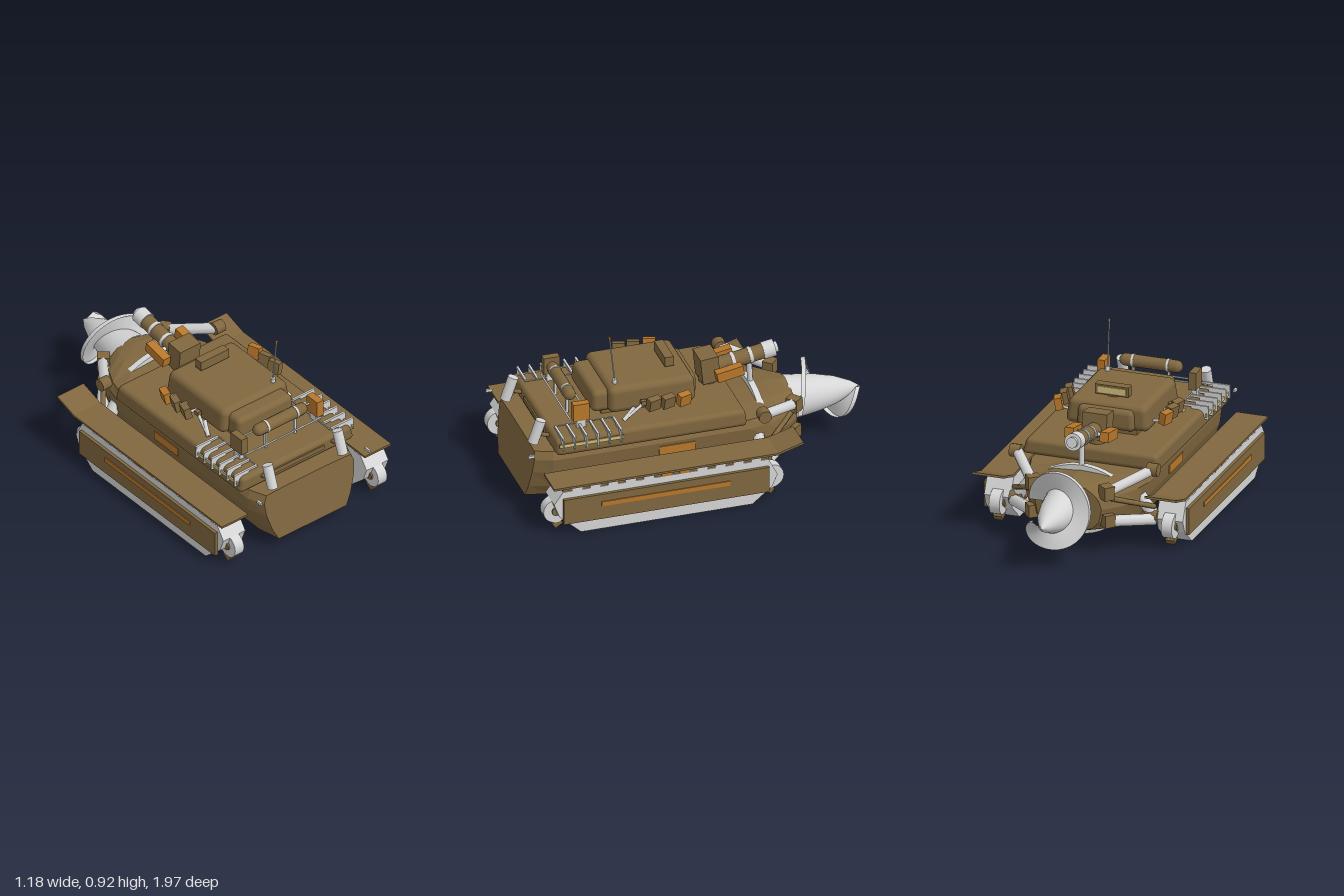
import * as THREE from 'three';
import { RoundedBoxGeometry } from 'three/addons/geometries/RoundedBoxGeometry.js';

const mat = (name, color, side = THREE.FrontSide) => {
  const m = new THREE.MeshStandardMaterial({ color, side });
  m.name = name;
  return m;
};

export function createModel() {
  const root = new THREE.Group();
  root.name = 'drillingVehicle';
  const brown = mat('brown armour', 0x80673f);
  const grey = mat('light metal', 0xd6d6d6, THREE.DoubleSide);
  const orange = mat('orange', 0xb8772c);
  const glass = mat('pale window', 0xd2bf7c);
  const V = (x, y, z) => new THREE.Vector3(x, y, z);

  const add = (name, geo, m, x = 0, y = 0, z = 0, rx = 0, ry = 0, rz = 0) => {
    const mesh = new THREE.Mesh(geo, m);
    mesh.name = name;
    mesh.position.set(x, y, z);
    mesh.rotation.set(rx, ry, rz);
    root.add(mesh);
    return mesh;
  };
  const box = (name, m, w, h, d, ...p) => add(name, new THREE.BoxGeometry(w, h, d), m, ...p);
  const rod = (name, m, a, b, r, sides = 12, r2 = r) => {
    const dir = b.clone().sub(a);
    const mesh = add(name, new THREE.CylinderGeometry(r2, r, dir.length(), sides), m);
    mesh.position.copy(a).add(b).multiplyScalar(0.5);
    mesh.quaternion.setFromUnitVectors(V(0, 1, 0), dir.normalize());
    return mesh;
  };
  // rounded block whose top is narrowed by kx and kz
  const block = (name, w, h, d, r, kx, kz, x, y, z) => {
    const g = new RoundedBoxGeometry(w, h, d, 3, r), p = g.attributes.position;
    for (let i = 0; i < p.count; i++) {
      const t = p.getY(i) / h + 0.5;
      p.setX(i, p.getX(i) * (1 - kx * t));
      p.setZ(i, p.getZ(i) * (1 - kz * t));
    }
    return add(name, g, brown, x, y, z);
  };

  // Hull: one section lofted along z, turning round towards the drill
  const half = [[0, 0.08], [0.26, 0.08], [0.3, 0.15], [0.335, 0.25], [0.345, 0.33], [0.325, 0.375], [0.15, 0.38], [0, 0.38]];
  const section = half.concat(half.slice(1, -1).reverse().map(([x, y]) => [-x, y]));
  // z, width factor, blend to round, round radius x, round radius y
  const rings = [[0.95, 0.89, 0, 0, 0], [0.84, 1, 0, 0, 0], [-0.26, 1, 0, 0, 0], [-0.36, 1, 0.35, 0.3, 0.17],
    [-0.45, 1, 0.7, 0.265, 0.165], [-0.52, 1, 0.9, 0.23, 0.155], [-0.57, 1, 1, 0.19, 0.145]];
  const pos = [], idx = [], n = section.length;
  const ringPoints = rings.map(([z, k, t, rx, ry]) => section.map(([x, y]) => {
    const a = Math.atan2(y - 0.23, x * 0.6);
    const slant = z > 0.9 ? (0.23 - y) * 0.12 : 0;
    return [x * k * (1 - t) + Math.cos(a) * rx * t, y * (1 - t) + (0.25 + Math.sin(a) * ry) * t, z + slant];
  }));
  ringPoints.forEach(r => r.forEach(p => pos.push(...p)));
  for (let j = 0; j < rings.length - 1; j++) for (let i = 0; i < n; i++) {
    const a = j * n + i, b = j * n + (i + 1) % n;
    idx.push(a, a + n, b, b, a + n, b + n);
  }
  for (let i = 1; i < n - 1; i++) {
    const e = (rings.length - 1) * n;
    idx.push(0, i, i + 1, e, e + i + 1, e + i);
  }
  let hull = new THREE.BufferGeometry();
  hull.setAttribute('position', new THREE.Float32BufferAttribute(pos, 3));
  hull.setIndex(idx);
  hull = hull.toNonIndexed();
  hull.computeVertexNormals();
  add('hull', hull, brown);

  // Deck and cabin
  block('deck', 0.79, 0.09, 1.07, 0.025, 0.06, 0.01, 0, 0.422, 0.305);
  box('deckFrontSlot', brown, 0.36, 0.025, 0.02, 0, 0.423, 0.835);
  box('cabinBase', brown, 0.34, 0.05, 0.5, 0, 0.48, 0.27);
  block('cabin', 0.48, 0.145, 0.49, 0.035, 0.09, 0.03, 0, 0.562, 0.25);
  block('cabinFront', 0.39, 0.12, 0.18, 0.03, 0.05, 0.1, 0, 0.55, 0.49);
  block('cabinBack', 0.33, 0.12, 0.14, 0.03, 0.05, 0.05, 0, 0.55, 0.05);
  box('roofLampHousing', brown, 0.19, 0.055, 0.05, 0, 0.673, 0.115);
  box('roofLampFoot', brown, 0.05, 0.02, 0.03, 0, 0.638, 0.115);
  box('roofLampWindow', glass, 0.16, 0.035, 0.006, 0, 0.673, 0.088);

  // Antenna
  rod('antennaBase', grey, V(0.155, 0.63, 0.44), V(0.155, 0.66, 0.442), 0.013);
  rod('antennaMast', grey, V(0.155, 0.65, 0.44), V(0.155, 0.91, 0.468), 0.004, 8);
  rod('antennaTip', orange, V(0.155, 0.908, 0.468), V(0.155, 0.922, 0.47), 0.007, 8);

  // Tank with straps and rails on the front deck
  const tank = add('tank', new THREE.CapsuleGeometry(0.034, 0.29, 4, 16), brown, 0, 0.605, 0.69);
  tank.rotation.z = Math.PI / 2;
  for (const x of [-0.1, 0.1]) {
    rod('tankStrap', grey, V(x - 0.006, 0.605, 0.69), V(x + 0.006, 0.605, 0.69), 0.037, 16);
    box('tankFoot', grey, 0.012, 0.13, 0.015, x, 0.525, 0.69);
  }
  for (const [y, z] of [[0.565, 0.64], [0.51, 0.72]]) rod('crossRail', grey, V(-0.26, y, z), V(0.26, y, z), 0.005, 6);
  box('orangeBox', orange, 0.042, 0.1, 0.09, 0.26, 0.56, 0.665);
  box('brownBox', brown, 0.042, 0.1, 0.09, -0.26, 0.56, 0.665);

  for (const s of [1, -1]) {
    const P = (x, y, z) => V(s * x, y, z);

    // Deck fittings
    box('boxFoot', grey, 0.03, 0.06, 0.05, s * 0.26, 0.485, 0.665);
    rod('exhaust', grey, P(0.24, 0.4, 0.925), P(0.24, 0.53, 0.88), 0.029, 16);
    rod('exhaustBracket', brown, P(0.24, 0.43, 0.83), P(0.24, 0.45, 0.9), 0.012, 8);
    box('frontMarker', grey, 0.012, 0.015, 0.035, s * 0.37, 0.392, 0.975);
    for (let i = 0; i < 6; i++) {
      const z = 0.48 + i * 0.065;
      box('rackSlat', grey, 0.15, 0.012, 0.012, s * 0.33, 0.485, z);
      box('rackPlate', grey, 0.1, 0.07, 0.007, s * 0.357, 0.45, z);
    }
    box('rackStrip', glass, 0.008, 0.02, 0.36, s * 0.394, 0.44, 0.645);
    rod('rackRail', grey, P(0.25, 0.485, 0.48), P(0.25, 0.485, 0.81), 0.004, 6);
    box('hullSideVent', orange, 0.008, 0.05, 0.2, s * 0.343, 0.285, 0.15);

    // Side lamps and the small folded arm beside the cabin
    [[0.1, orange], [0.19, brown], [0.27, brown]].forEach(([z, m]) => {
      box('sideLamp', m, 0.04, 0.068, 0.07, s * 0.305, 0.56, z, 0, s * 0.3, -s * 0.2);
      rod('sideLampFoot', grey, P(0.22, 0.53, z), P(0.3, 0.54, z), 0.008, 6);
    });
    rod('foldedArm', grey, P(0.28, 0.47, 0.43), P(0.255, 0.54, 0.31), 0.009, 8);
    rod('foldedArmLink', grey, P(0.28, 0.47, 0.43), P(0.25, 0.52, 0.36), 0.012, 8);
    box('foldedArmJoint', brown, 0.025, 0.025, 0.03, s * 0.255, 0.545, 0.31);

    // Track pod: sloped outline extruded across x
    const outline = [[0.86, 0.26], [0.91, 0.19], [0.88, 0.11], [0.76, 0], [-0.2, 0], [-0.31, 0.09], [-0.34, 0.16], [-0.29, 0.26]];
    const shape = new THREE.Shape(outline.map(([z, y]) => new THREE.Vector2(-z, y)));
    const pod = new THREE.ExtrudeGeometry(shape, { depth: 0.15, bevelEnabled: false });
    add('trackPod', pod, grey, s * 0.49 - 0.075, 0, 0, 0, Math.PI / 2, 0);
    box('podPanel', brown, 0.02, 0.15, 1.15, s * 0.573, 0.145, 0.285);
    box('podStripe', orange, 0.006, 0.027, 0.72, s * 0.585, 0.163, 0.29);
    box('fenderSupport', brown, 0.14, 0.035, 1.15, s * 0.49, 0.267, 0.285);
    for (let i = 0; i < 11; i++) {
      const z = -0.22 + i * 0.1;
      box('fenderBracket', i > 3 && i < 6 ? orange : grey, 0.152, 0.02, 0.055, s * 0.49, 0.268, z);
    }
    box('fender', brown, 0.18, 0.012, 1.26, s * 0.49, 0.289, 0.285);
    box('fenderFlap', brown, 0.18, 0.012, 0.15, s * 0.49, 0.311, -0.41, 0.3);
    for (const [z, e] of [[0.885, 1], [-0.32, -1]]) {
      rod('podEndWheel', grey, P(0.46, 0.125, z), P(0.52, 0.125, z), 0.07, 20);
      rod('podEndHub', brown, P(0.45, 0.125, z), P(0.53, 0.125, z), 0.025, 10);
      box('podEndArm', brown, 0.05, 0.035, 0.05, s * 0.49, 0.045, z - e * 0.01, e * 0.6);
    }

    // Struts from the nose to the deck and pods
    rod('upperStrut', grey, P(0.22, 0.365, -0.54), P(0.39, 0.43, -0.31), 0.03, 8);
    rod('lowerStrut', grey, P(0.22, 0.19, -0.53), P(0.4, 0.15, -0.33), 0.033, 8);
    rod('piston', brown, P(0.2, 0.33, -0.55), P(0.4, 0.22, -0.32), 0.014, 8);
    rod('sideLink', grey, P(0.31, 0.27, -0.31), P(0.4, 0.15, -0.31), 0.035, 10);
    box('noseJointUpper', brown, 0.07, 0.075, 0.06, s * 0.21, 0.36, -0.545, 0, s * 0.7);
    box('noseJointLower', brown, 0.07, 0.07, 0.06, s * 0.21, 0.2, -0.54, 0, s * 0.7);
    rod('deckJoint', brown, P(0.36, 0.43, -0.32), P(0.42, 0.43, -0.32), 0.036, 12);
    rod('podJoint', brown, P(0.35, 0.16, -0.32), P(0.42, 0.16, -0.32), 0.04, 10);
    rod('podJointPin', orange, P(0.36, 0.16, -0.27), P(0.36, 0.16, -0.3), 0.02, 10);

    // Boxes beside the barrel
    box('barrelSideBox', orange, 0.05, 0.055, 0.15, s * 0.1, 0.55, -0.22, 0.18);
    rod('barrelSideLink', grey, P(0, 0.55, -0.23), P(0.1, 0.55, -0.23), 0.012, 8);
  }

  // Tilted barrel on the back deck
  const along = t => V(0, 0.54 + 0.06 * t, -0.14 - 0.36 * t);
  box('barrelMount', brown, 0.14, 0.15, 0.1, 0, 0.56, -0.125, 0.1);
  rod('barrelPedestal', brown, V(0, 0.44, -0.13), V(0, 0.54, -0.13), 0.05);
  rod('barrel', brown, along(0), along(0.85), 0.043, 18);
  for (const t of [0.33, 0.6]) rod('barrelBand', grey, along(t), along(t + 0.05), 0.047, 18);
  rod('barrelEnd', grey, along(0.82), along(1), 0.048, 18);
  rod('barrelRear', grey, along(0.98), along(1.05), 0.03, 14);
  rod('barrelPost', grey, V(0, 0.38, -0.37), V(0, 0.57, -0.36), 0.016, 8);

  // Crescent fins above and below the nose
  const fin = (name, hw, base, tip) => {
    const s = new THREE.Shape();
    s.moveTo(-hw, base);
    s.quadraticCurveTo(0, 2 * tip - base, hw, base);
    s.closePath();
    add(name, new THREE.ExtrudeGeometry(s, { depth: 0.035, bevelEnabled: false }), grey, 0, 0, -0.385);
  };
  fin('noseFinTop', 0.19, 0.375, 0.425);
  fin('noseFinBottom', 0.16, 0.09, 0.035);

  // Drill cone with a helical blade
  const cone = [[0.125, 0], [0.115, 0.08], [0.1, 0.18], [0.075, 0.28], [0.035, 0.37], [0, 0.42]];
  add('drillCone', new THREE.LatheGeometry(cone.map(([r, h]) => new THREE.Vector2(r, h)), 28), grey, 0, 0.28, -0.56, -Math.PI / 2);
  const blade = new THREE.PlaneGeometry(1, 1, 1, 64), bp = blade.attributes.position;
  for (let i = 0; i < bp.count; i++) {
    const t = bp.getY(i) + 0.5, outer = bp.getX(i) > 0;
    const a = t * Math.PI * 2.15, r = outer ? 0.215 - 0.05 * t - 0.1 * t ** 5 : 0.11 * (1 - t) + 0.01;
    bp.setXYZ(i, Math.cos(a) * r, 0.28 + Math.sin(a) * r, -0.59 - 0.375 * t);
  }
  const rim = blade.clone(), rp = rim.attributes.position;
  for (let i = 0; i < rp.count; i += 2) {
    const k = i + 1;
    rp.setXYZ(i, rp.getX(k), rp.getY(k), rp.getZ(k) + 0.025);
  }
  for (const [name, g] of [['drillBlade', blade], ['drillBladeRim', rim]]) {
    g.computeVertexNormals();
    add(name, g, grey);
  }
  return root;
}
